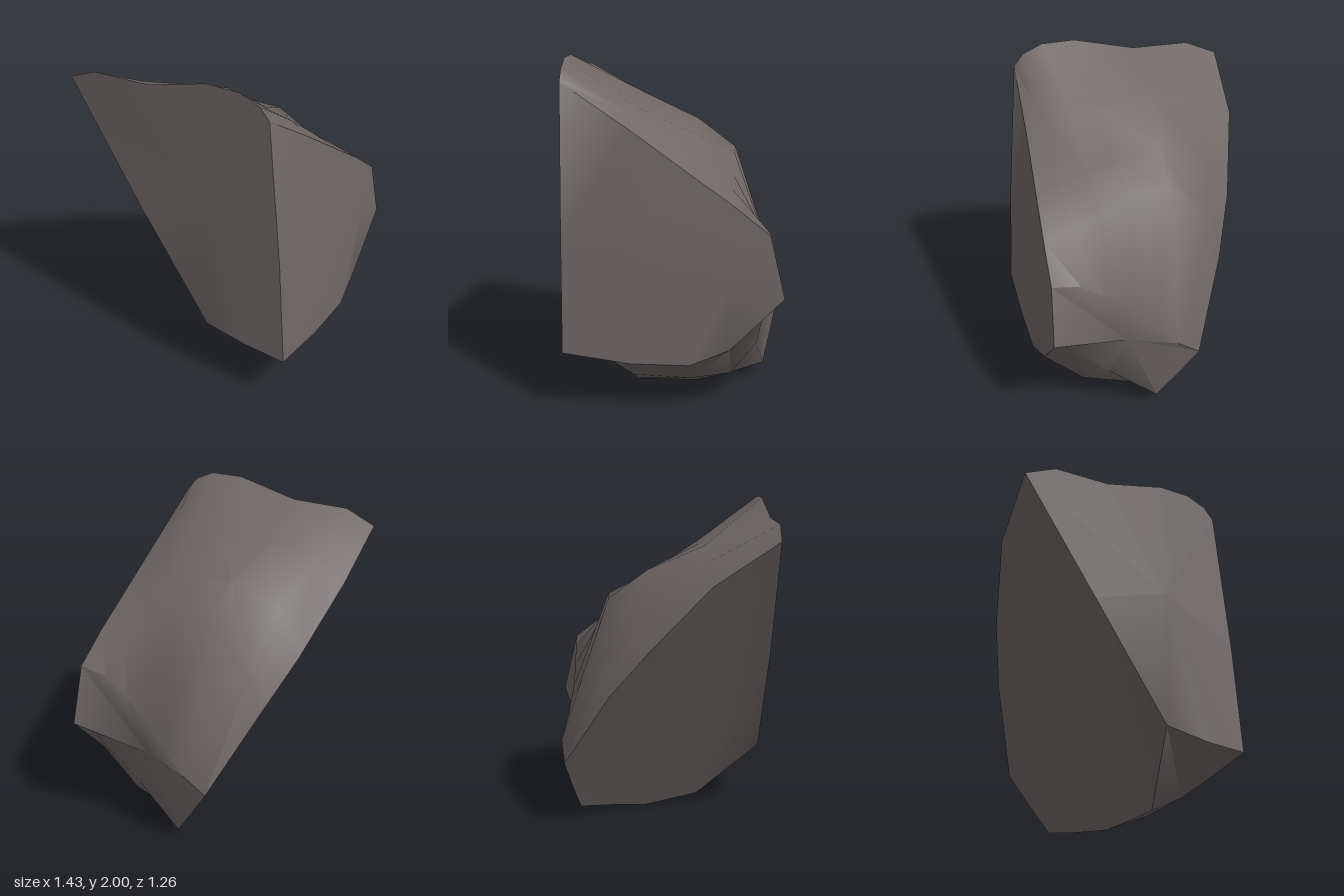
import * as THREE from 'three';
import { toCreasedNormals } from 'three/addons/utils/BufferGeometryUtils.js';

// Cross-sections from front to back. Each runs clockwise from the upper left
// corner: over the top, down the right side, along the bottom, up the left.
const sections = [
  { z: 0.63, p: [[-0.72, 1.81, 0.61], [-0.53, 1.89], [-0.18, 1.9], [0.2, 2], [0.4, 2], [0.52, 1.95],
    [0.58, 1.88], [0.66, 1.0], [0.7, 0.34], [0.45, 0.36], [0.18, 0.41], [-0.27, 1.1]] },
  { z: 0.24, p: [[-0.69, 1.56], [-0.5, 1.68], [-0.18, 1.74], [0.17, 1.72], [0.35, 1.72], [0.5, 1.69],
    [0.605, 1.62], [0.68, 1.0], [0.71, 0.29], [0.52, 0.15], [0.31, 0.04], [-0.2, 0.85]] },
  { z: -0.1, p: [[-0.56, 1.18], [-0.42, 1.43], [-0.12, 1.59], [0.15, 1.53], [0.32, 1.48], [0.48, 1.44],
    [0.635, 1.38], [0.69, 0.9], [0.715, 0.29], [0.5, 0.13], [0.21, 0], [-0.18, 0.62]] },
  { z: -0.33, p: [[-0.43, 0.89], [-0.36, 1.13], [-0.1, 1.42], [0.12, 1.42], [0.3, 1.32], [0.48, 1.27],
    [0.655, 1.22], [0.7, 0.8], [0.69, 0.38], [0.45, 0.15], [0.13, 0.03], [-0.1, 0.38]] },
  // The back rim is uneven, so its depth varies from point to point
  { p: [[-0.21, 0.42, -0.61], [-0.07, 0.53, -0.63], [0.08, 0.66, -0.59], [0.22, 0.8, -0.56],
    [0.36, 0.92, -0.55], [0.5, 1.02, -0.55], [0.67, 1.05, -0.55], [0.69, 0.69, -0.635],
    [0.6, 0.58, -0.52], [0.33, 0.3, -0.48], [0.03, 0.06, -0.52], [-0.1, 0.25, -0.57]] },
];

function rockGeometry() {
  const position = [], index = [];
  const n = sections[0].p.length;
  for (const { z, p } of sections) {
    for (const [x, y, depth = z] of p) position.push(x, y, depth);
  }

  // Sides
  for (let i = 0; i < sections.length - 1; i++) {
    for (let j = 0; j < n; j++) {
      const k = (j + 1) % n;
      const a = i * n + j, b = i * n + k, c = a + n, d = b + n;
      index.push(a, b, c, b, d, c);
    }
  }

  // Flat front and dented back
  const front = position.length / 3, back = front + 1;
  const last = (sections.length - 1) * n;
  position.push(0.2, 1.25, 0.63, 0.22, 0.56, -0.54);
  for (let j = 0; j < n; j++) {
    const k = (j + 1) % n;
    index.push(front, k, j, back, last + j, last + k);
  }

  const geometry = new THREE.BufferGeometry();
  geometry.setAttribute('position', new THREE.Float32BufferAttribute(position, 3));
  geometry.setIndex(index);
  return toCreasedNormals(geometry, 0.9);
}

export function createModel() {
  const stone = new THREE.MeshStandardMaterial({ color: 0x6e6766 });
  stone.name = 'stone';

  const rock = new THREE.Mesh(rockGeometry(), stone);
  rock.name = 'rock';

  const model = new THREE.Group();
  model.name = 'boulder';
  model.add(rock);
  return model;
}
